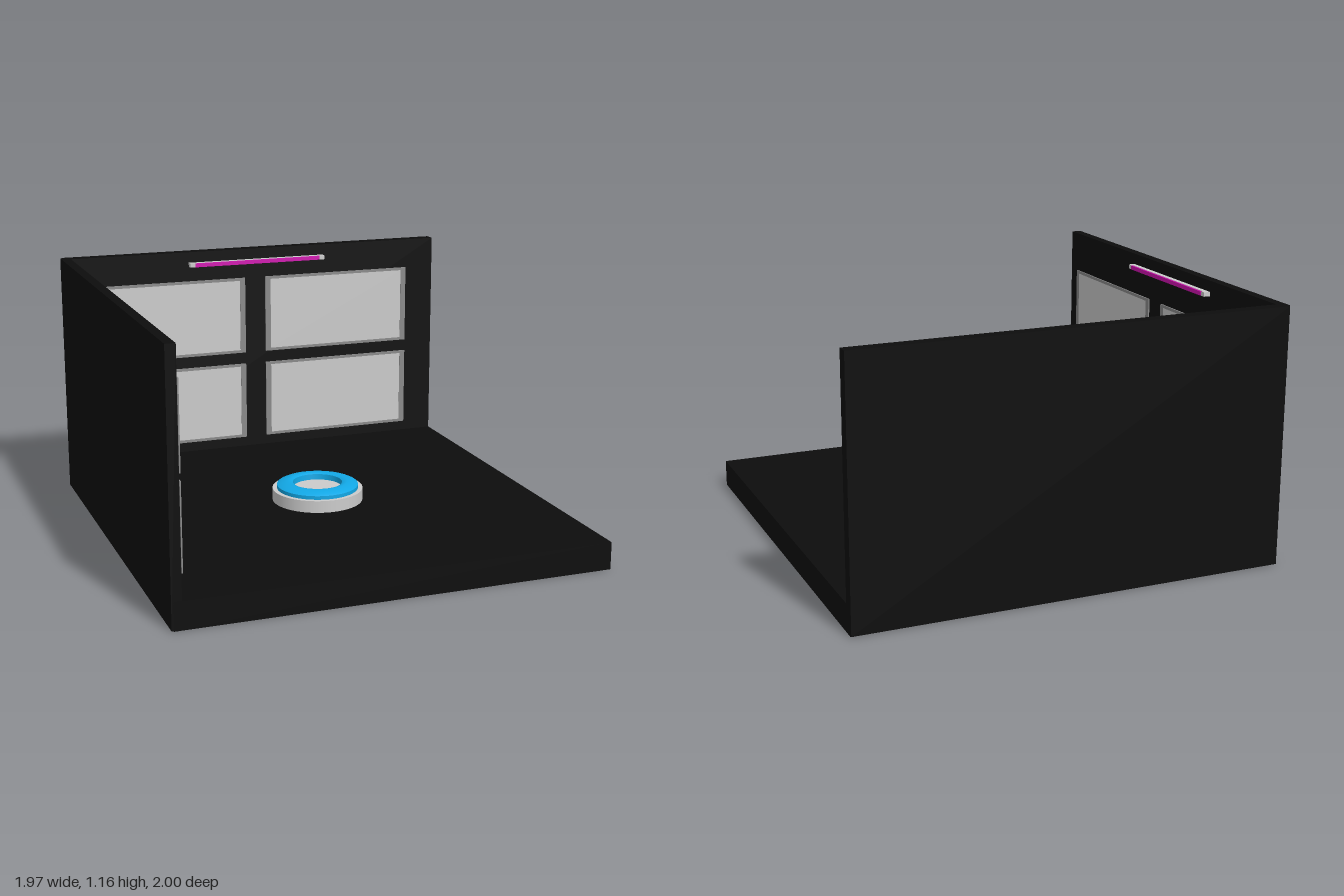
import * as THREE from 'three';

const mat = (color) => new THREE.MeshStandardMaterial({ color });
const black = mat(0x0d0d0d), grey = mat(0xcccccc), frameGrey = mat(0x8a8a8a);
const pink = mat(0xd012b0), blue = mat(0x12a8e6);

// Box given by its lower and upper limits on each axis
function box(name, material, [x0, x1], [y0, y1], [z0, z1]) {
  const mesh = new THREE.Mesh(new THREE.BoxGeometry(x1 - x0, y1 - y0, z1 - z0), material);
  mesh.position.set((x0 + x1) / 2, (y0 + y1) / 2, (z0 + z1) / 2);
  mesh.name = name;
  return mesh;
}

// Thin window facing +z: open frame with a pane set into it
function windowPanel([x0, x1], [y0, y1]) {
  const w = x1 - x0, h = y1 - y0, bx = 0.028, by = 0.014, depth = 0.006;
  const rect = (Type, a, b) => new Type([
    new THREE.Vector2(-a, -b), new THREE.Vector2(a, -b),
    new THREE.Vector2(a, b), new THREE.Vector2(-a, b),
  ]);
  const outline = rect(THREE.Shape, w / 2, h / 2);
  outline.holes.push(rect(THREE.Path, w / 2 - bx, h / 2 - by));
  const frame = new THREE.Mesh(
    new THREE.ExtrudeGeometry(outline, { depth, bevelEnabled: false }), frameGrey);
  frame.name = 'windowFrame';
  const pane = box('windowPane', grey,
    [-w / 2 + bx, w / 2 - bx], [-h / 2 + by, h / 2 - by], [0, depth * 0.7]);
  const group = new THREE.Group();
  group.name = 'window';
  group.add(frame, pane);
  group.position.set((x0 + x1) / 2, (y0 + y1) / 2, 0);
  return group;
}

// Strip light facing +z: grey casing with end caps and a glowing front bar
function stripLight(x0, x1, y0, y1) {
  const group = new THREE.Group();
  group.name = 'stripLight';
  const cap = 0.026;
  group.add(
    box('lightCasing', grey, [x0, x1], [y0 + 0.004, y1], [0, 0.024]),
    box('lightBar', pink, [x0 + cap, x1 - cap], [y0, y1 - 0.001], [0.008, 0.034]),
    box('lightEndCap', grey, [x0, x0 + cap], [y0, y1], [0, 0.032]),
    box('lightEndCap', grey, [x1 - cap, x1], [y0, y1], [0, 0.032]),
  );
  return group;
}

// Four windows in two rows
function windowGrid(columns, rows) {
  const group = new THREE.Group();
  group.name = 'windows';
  for (const c of columns) for (const r of rows) group.add(windowPanel(c, r));
  return group;
}

function createModel() {
  const model = new THREE.Group();
  model.name = 'room';

  // Floor slab and two walls
  model.add(
    box('floor', black, [-0.975, 0.985], [0, 0.125], [-0.99, 1]),
    box('backWall', black, [-0.975, 0.985], [0.004, 1.163], [-1, -0.945]),
    box('leftWall', black, [-0.985, -0.94], [0.002, 1.163], [-0.985, 1]),
  );

  // Back wall fittings
  const backWindows = windowGrid([[-0.832, -0.054], [0.054, 0.833]], [[0.174, 0.567], [0.626, 1.016]]);
  backWindows.position.z = -0.943;
  const backLight = stripLight(-0.347, 0.367, 1.09, 1.11);
  backLight.position.z = -0.946;

  // Side wall fittings, turned to face +x (local x becomes -z)
  const sideWindows = windowGrid([[-0.842, -0.064], [0.051, 0.833]], [[0.176, 0.565], [0.597, 0.987]]);
  sideWindows.rotation.y = Math.PI / 2;
  sideWindows.position.x = -0.897;
  const sideLight = stripLight(-0.305, 0.414, 1.092, 1.112);
  sideLight.rotation.y = Math.PI / 2;
  sideLight.position.x = -0.941;
  model.add(backWindows, backLight, sideWindows, sideLight);

  // Round floor lamp: grey base disc with a domed blue ring
  const lamp = new THREE.Group();
  lamp.name = 'floorLamp';
  lamp.position.set(-0.008, 0, 0.004);
  const base = new THREE.Mesh(new THREE.CylinderGeometry(0.211, 0.211, 0.056, 64), grey);
  base.position.y = 0.155;
  base.name = 'lampBase';
  const profile = [[0.19, 0.182], [0.19, 0.2], [0.19, 0.2], [0.178, 0.206], [0.16, 0.211],
    [0.14, 0.215], [0.125, 0.214], [0.115, 0.209], [0.115, 0.209], [0.113, 0.182]];
  const ring = new THREE.Mesh(
    new THREE.LatheGeometry(profile.map(([r, y]) => new THREE.Vector2(r, y)), 64), blue);
  ring.material.side = THREE.DoubleSide;
  ring.name = 'lampRing';
  lamp.add(base, ring);
  model.add(lamp);

  return model;
}

export { createModel };
